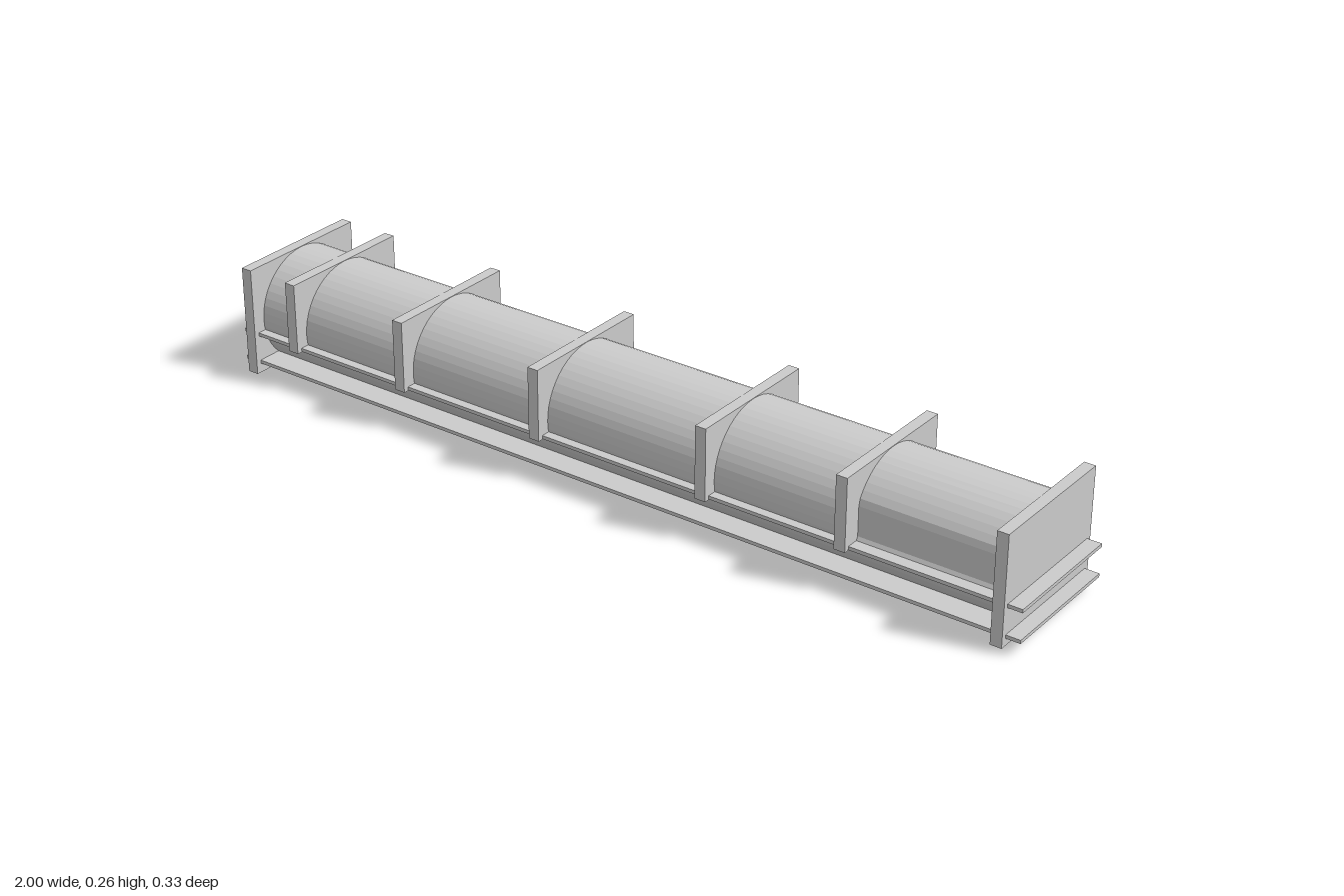
import * as THREE from 'three';

const material = new THREE.MeshStandardMaterial({ color: 0xcccccc });

const CENTER_Y = 0.131;
const RADIUS_Y = 0.131;
const RADIUS_Z = 0.134;
const SHELF_Y = 0.102;

// Box given by its x centre, y range and full sizes along x and z
function box(name, x, y0, y1, sizeX, sizeZ) {
  const mesh = new THREE.Mesh(new THREE.BoxGeometry(sizeX, y1 - y0, sizeZ), material);
  mesh.name = name;
  mesh.position.set(x, (y0 + y1) / 2, 0);
  return mesh;
}

// Length of round body along x; its sides above the upper shelf are cut flat at maxZ
function barrel(name, x0, x1, maxZ) {
  const points = [];
  const segments = 48;
  for (let i = 0; i < segments; i++) {
    const a = (i / segments) * Math.PI * 2;
    const y = CENTER_Y + Math.sin(a) * RADIUS_Y;
    let z = Math.cos(a) * RADIUS_Z;
    if (y > SHELF_Y) z = THREE.MathUtils.clamp(z, -maxZ, maxZ);
    points.push(new THREE.Vector2(z, y));
  }
  const geometry = new THREE.ExtrudeGeometry(new THREE.Shape(points), {
    depth: x1 - x0,
    bevelEnabled: false,
  });
  geometry.rotateY(Math.PI / 2);
  const mesh = new THREE.Mesh(geometry, material);
  mesh.name = name;
  mesh.position.x = x0;
  return mesh;
}

export function createModel() {
  const group = new THREE.Group();
  group.name = 'ribbedTank';

  // Round body, with a flat-sided last bay
  group.add(barrel('mainBarrel', -0.96, 0.597, 1));
  group.add(barrel('flatSidedBarrel', 0.597, 0.957, 0.12));

  // Two long thin shelves that run through the end plates
  group.add(box('lowerShelf', 0, 0.03, 0.038, 2, 0.305));
  group.add(box('upperShelf', 0, 0.098, 0.106, 2, 0.305));

  // End plates
  group.add(box('rightEndPlate', -0.971, 0.008, 0.263, 0.026, 0.33));
  group.add(box('leftEndPlate', 0.954, 0.013, 0.263, 0.026, 0.33));

  // Upper ribs standing on the upper shelf
  for (const x of [-0.842, -0.532, -0.163, 0.263, 0.597]) {
    group.add(box('rib', x, 0.097, 0.263, 0.026, 0.33));
  }

  return group;
}
